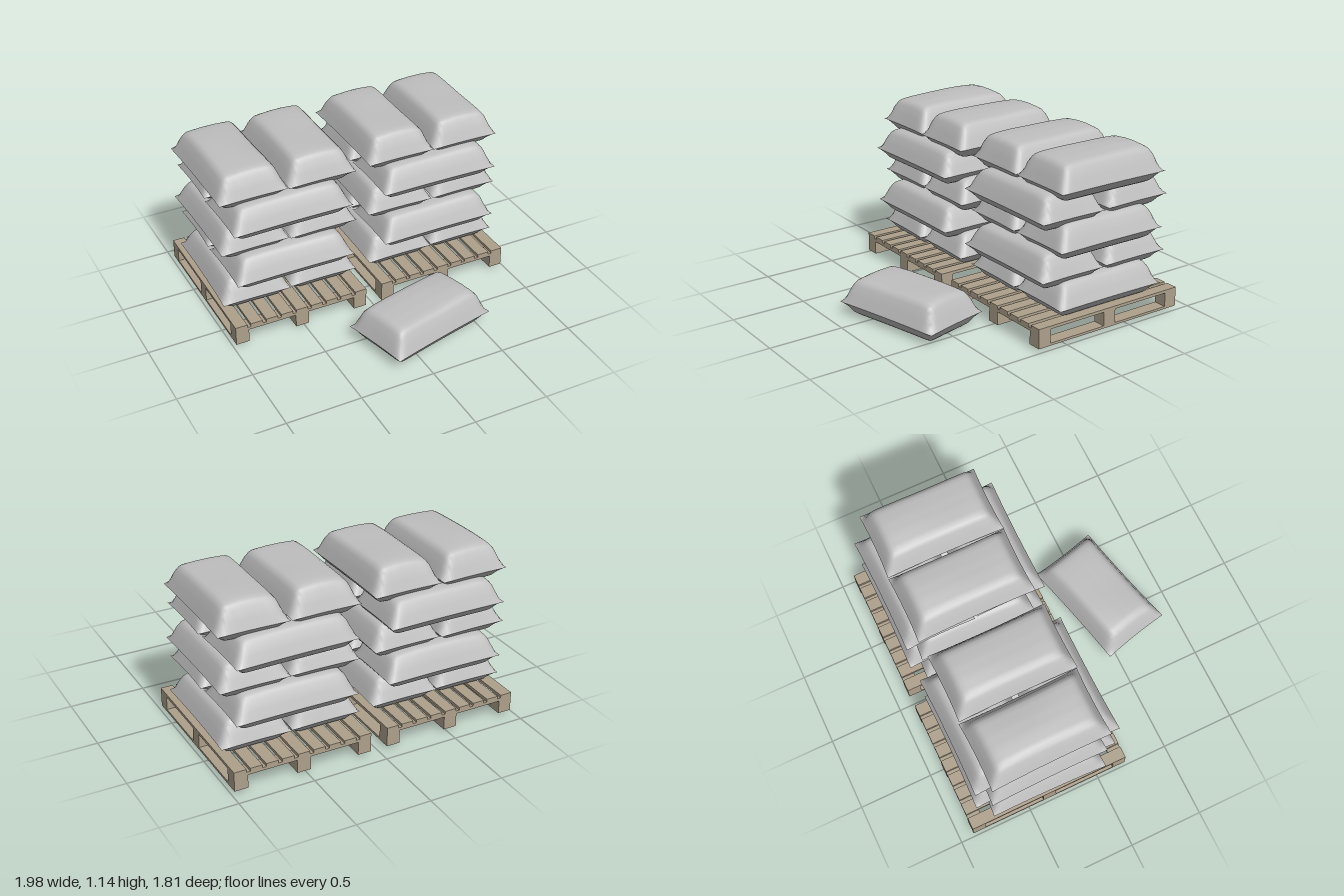
import * as THREE from 'three';
import { mergeGeometries } from 'three/addons/utils/BufferGeometryUtils.js';

const sackGrey = new THREE.MeshStandardMaterial({ color: 0xbfbfbf });
sackGrey.name = 'sack grey';
const palletWood = new THREE.MeshStandardMaterial({ color: 0xaea18c });
palletWood.name = 'pallet wood';

// Small seeded generator for the untidy stacking
let seed = 7;
const rand = () => {
  seed = (seed * 16807) % 2147483647;
  return seed / 2147483647 - 0.5;
};

// Distances from the seam at which the cloth is sampled, and its swelling there
const INSET = [0, 0.025, 0.05, 0.07, 0.09, 0.12, 0.16];
const UPPER = [0, 0.38, 0.74, 0.88, 0.945, 0.97, 0.985];
const LOWER = [0, 0.4, 0.78, 0.95, 0.985, 1, 1];

function stations(half) {
  const out = INSET.map((d) => d - half);
  const inner = half - 0.16;
  for (let i = 1; i < 6; i++) out.push(-inner + (2 * inner * i) / 6);
  return out.concat(INSET.map((d) => half - d).reverse());
}

const swell = (table, i, n) => table[Math.min(i, n - 1 - i)] ?? 1;

// One half of a sack: a cloth sheet swelling up (or down) from the seam
function sackHalf(length, width, height, table, up, phase) {
  const xs = stations(length / 2), zs = stations(width / 2);
  const n = xs.length, pos = [], idx = [];
  for (let i = 0; i < n; i++) {
    for (let j = 0; j < n; j++) {
      const u = xs[i] / (length / 2), v = zs[j] / (width / 2);
      const s = swell(table, i, n) * swell(table, j, n);
      const lump = up ? 1 + 0.03 * Math.sin(3 * u + phase) * Math.cos(2 * v + phase) : 1;
      const y = height * s * lump * (up ? 1 : -1);
      // edges pulled in slightly between the corners
      const x = xs[i] * (1 - 0.018 * (1 - v * v));
      const z = zs[j] * (1 - 0.03 * (1 - u * u));
      pos.push(x, y, z);
      if (i < n - 1 && j < n - 1) {
        const a = i * n + j, b = a + 1, c = a + n, d = c + 1;
        if (up) idx.push(a, b, c, b, d, c);
        else idx.push(a, c, b, b, c, d);
      }
    }
  }
  const g = new THREE.BufferGeometry();
  g.setAttribute('position', new THREE.Float32BufferAttribute(pos, 3));
  g.setIndex(idx);
  g.computeVertexNormals();
  return g;
}

function makeSack(name, x, seamY, z, yaw, { length = 0.815, width = 0.475, top = 0.157, bottom = 0.074 } = {}) {
  const geometry = mergeGeometries([
    sackHalf(length, width, top, UPPER, true, rand() * 6),
    sackHalf(length, width, bottom, LOWER, false, 0),
  ]);
  const mesh = new THREE.Mesh(geometry, sackGrey);
  mesh.name = name;
  mesh.position.set(x, seamY, z);
  mesh.rotation.y = yaw;
  return mesh;
}

function makePallet(cx) {
  const pallet = new THREE.Group();
  pallet.name = 'pallet';
  const W = 0.925, D = 1.11, cz = -0.35;
  const board = (name, w, h, d, x, y, z) => {
    const m = new THREE.Mesh(new THREE.BoxGeometry(w, h, d), palletWood);
    m.name = name;
    m.position.set(cx + x, y, cz + z);
    pallet.add(m);
  };
  for (let i = -1; i <= 1; i++) {
    const x = i * (W - 0.09) / 2;
    board('bottomRunner', 0.09, 0.016, D, x, 0.028, 0);
    board('crossBoard', W, 0.02, 0.09, 0, 0.12, i * (D - 0.09) / 2);
    for (let k = -1; k <= 1; k++) board('block', 0.09, 0.074, 0.09, x, 0.073, k * (D - 0.09) / 2);
  }
  // top deck
  for (let i = 0; i < 9; i++) board('deckSlat', 0.08, 0.02, D, (i - 4) * (W - 0.08) / 8, 0.14, 0);
  return pallet;
}

// Five layers, alternately lengthwise and crosswise
function makeStack(cx) {
  const stack = new THREE.Group();
  stack.name = 'sackStack';
  const seams = [0.222, 0.408, 0.598, 0.782, 0.968];
  seams.forEach((y, layer) => {
    for (const side of [-1, 1]) {
      const yaw = rand() * 0.035;
      const opts = layer === 4 ? { top: 0.167 } : {};
      const jitter = rand() * 0.016;
      if (layer % 2 === 0) {
        opts.width = 0.465;
        opts.length = 0.8;
        stack.add(makeSack('lengthwiseSack', cx + side * 0.235, y, -0.352 + jitter, Math.PI / 2 + yaw, opts));
      } else {
        stack.add(makeSack('crosswiseSack', cx + jitter, y, -0.348 + side * 0.252, yaw, opts));
      }
    }
  });
  return stack;
}

export function createModel() {
  const model = new THREE.Group();
  model.name = 'sacksOnPallets';
  for (const cx of [-0.52, 0.52]) model.add(makePallet(cx), makeStack(cx));
  // single sack lying on the ground in front
  model.add(makeSack('looseSack', 0.14, 0.088, 0.575, 0.245, { length: 0.785, width: 0.475, top: 0.168, bottom: 0.088 }));
  return model;
}
